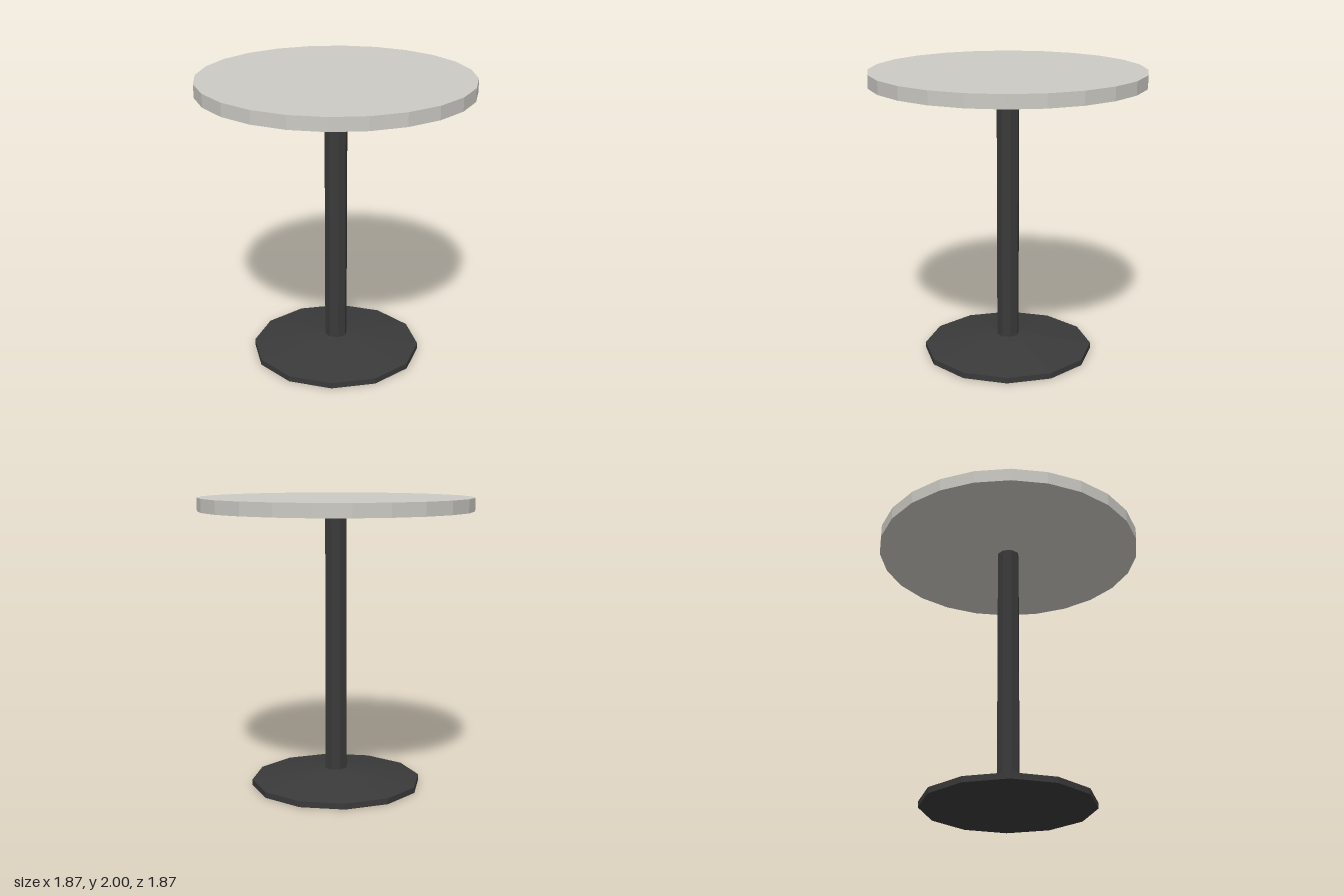
import * as THREE from 'three';

const stone = new THREE.MeshStandardMaterial({ color: 0xcccac4 });
stone.name = 'pale stone';
const iron = new THREE.MeshStandardMaterial({ color: 0x3a3a3a });
iron.name = 'dark iron';

// Faceted geometry with one normal per face
function faceted(geometry) {
  const flat = geometry.toNonIndexed();
  flat.computeVertexNormals();
  return flat;
}

function addPart(group, name, geometry, material, y = 0) {
  const mesh = new THREE.Mesh(faceted(geometry), material);
  mesh.name = name;
  mesh.position.y = y;
  group.add(mesh);
}

export function createModel() {
  const table = new THREE.Group();
  table.name = 'pedestalTable';

  // Round slab top
  addPart(table, 'tableTop', new THREE.CylinderGeometry(0.933, 0.933, 0.09, 24), stone, 1.955);

  // Eight-sided column, ending at the underside of the top
  addPart(table, 'column', new THREE.CylinderGeometry(0.078, 0.078, 1.81, 8), iron, 1.005);

  // Twelve-sided foot: thin rim, sloping up to a shallow crown
  const profile = [[0, 0], [0.588, 0], [0.588, 0.04], [0.16, 0.107], [0.075, 0.115], [0, 0.115]]
    .map(([r, y]) => new THREE.Vector2(r, y));
  addPart(table, 'foot', new THREE.LatheGeometry(profile, 12), iron);

  return table;
}
